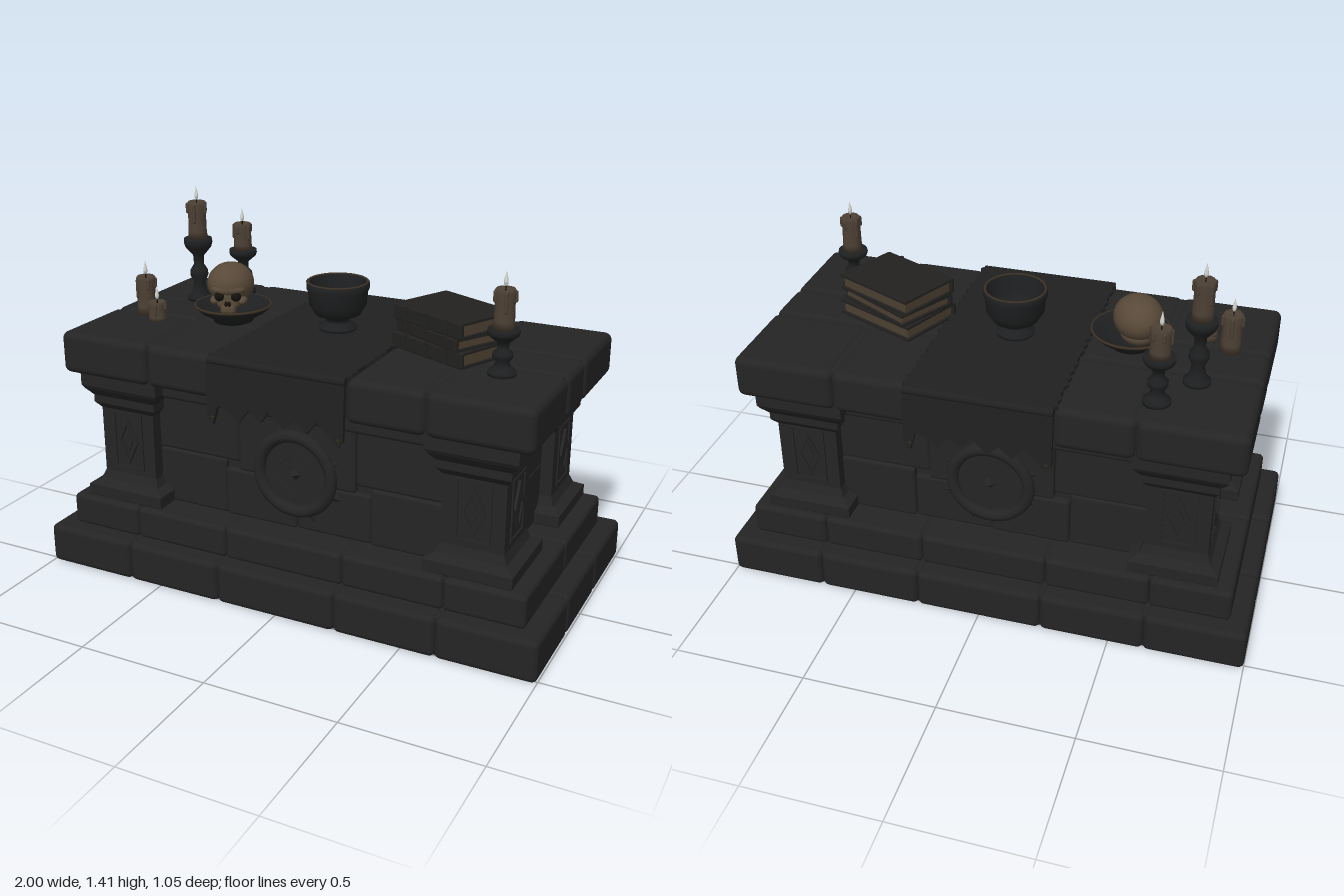
import * as THREE from 'three';
import { RoundedBoxGeometry } from 'three/addons/geometries/RoundedBoxGeometry.js';

const mat = (name, color) => {
  const m = new THREE.MeshStandardMaterial({ color });
  m.name = name;
  return m;
};

export function createModel() {
  const stone = mat('stone', 0x242424), cloth = mat('cloth', 0x202020), iron = mat('iron', 0x1e1f20);
  const cover = mat('bookCover', 0x222120), wax = mat('wax', 0x4c4034), bone = mat('bone', 0x584938);
  const paper = mat('paper', 0x4c3f30), brass = mat('brass', 0x3c3022), flameMat = mat('flame', 0xd6d6d0);
  const hollow = mat('hollow', 0x14110e);
  const root = new THREE.Group();

  const add = (parent, name, geo, material, x = 0, y = 0, z = 0) => {
    const m = new THREE.Mesh(geo, material);
    m.name = name;
    m.position.set(x, y, z);
    parent.add(m);
    return m;
  };
  const group = (parent, name, x = 0, y = 0, z = 0, ry = 0) => {
    const g = new THREE.Group();
    g.name = name;
    g.position.set(x, y, z);
    g.rotation.y = ry;
    parent.add(g);
    return g;
  };
  const flat = (geo) => {
    const g = geo.toNonIndexed();
    g.computeVertexNormals();
    return g;
  };
  const box = (w, h, d) => new THREE.BoxGeometry(w, h, d);
  const lathe = (pts, seg = 24) => new THREE.LatheGeometry(pts.map(p => new THREE.Vector2(...p)), seg);
  const poly = (pts) => new THREE.Shape(pts.map(p => new THREE.Vector2(...p)));
  const extrude = (shape, depth) => new THREE.ExtrudeGeometry(shape, { depth, bevelEnabled: false });
  const diamond = (w, h) => [[w, 0], [0, h], [-w, 0], [0, -h]];
  const rect = (w, h) => [[w, h], [-w, h], [-w, -h], [w, -h]];
  const frame = (outer, inner, depth) => {
    const s = poly(outer);
    s.holes.push(poly(inner));
    return extrude(s, depth);
  };

  // Courses of worn stone blocks, split along x and z, around a solid core
  const course = (name, xs, zs, y0, y1, r) => {
    const g = group(root, name), X = xs.at(-1), Z = zs.at(-1), h = y1 - y0, y = (y0 + y1) / 2;
    for (let i = 1; i < xs.length; i++) for (let j = 1; j < zs.length; j++) {
      const w = xs[i] - xs[i - 1], d = zs[j] - zs[j - 1];
      add(g, 'block', new RoundedBoxGeometry(w, h, d, 3, r), stone,
        (xs[i] + xs[i - 1]) / 2, y, (zs[j] + zs[j - 1]) / 2);
    }
    add(g, 'core', box(2 * X - .04, h - .012, 2 * Z - .04), stone, 0, y, 0);
  };
  course('baseStep', [-1, -.63, -.24, .24, .63, 1], [-.525, -.173, .173, .525], 0, .157, .022);
  course('upperStep', [-.93, -.63, -.24, .24, .63, .93], [-.455, 0, .455], .152, .277, .018);
  course('tableTop', [-.93, -.55, -.26, .26, .55, .93], [-.463, -.1, .1, .463], .785, .947, .028);

  // Recessed walls with bricks, and the lintel above them
  add(root, 'wallCore', box(1.5, .53, .62), stone, 0, .53, 0);
  add(root, 'lintelLong', new RoundedBoxGeometry(1.2, .08, .76, 2, .015), stone, 0, .757, 0);
  add(root, 'lintelShort', new RoundedBoxGeometry(1.62, .08, .36, 2, .015), stone, 0, .757, 0);
  const bricks = group(root, 'wallBricks');
  for (const s of [-1, 1]) {
    [[-.45, .3, .385, .22], [-.15, .3, .37, .19], [.15, .3, .37, .19], [.45, .3, .385, .22],
      [-.42, .36, .61, .23], [0, .48, .59, .25], [.42, .36, .61, .23]].forEach(([x, w, y, h], i) =>
      add(bricks, 'brick', new RoundedBoxGeometry(w, h, .06, 2, .012), stone, x, y, s * (.3 + (i % 2) * .006)));
    for (const z of [-.08, .08]) for (const y of [.39, .61])
      add(bricks, 'sideBrick', new RoundedBoxGeometry(.06, .225, .165, 2, .01), stone, s * .745, y, z);
  }

  // Corner pillars with framed diamonds on every face
  const pillarGeo = flat(lathe([[0, .27], [.16, .27], [.165, .28], [.165, .322], [.13, .342], [.116, .375], [.116, .635],
    [.136, .66], [.136, .69], [.16, .72], [.168, .735], [.168, .79], [0, .79]]
    .map(([r, y]) => [r * Math.SQRT2, y]), 4).rotateY(Math.PI / 4));
  for (const sx of [-1, 1]) for (const sz of [-1, 1]) {
    const p = group(root, 'pillar', sx * .705, 0, sz * .262);
    add(p, 'shaft', pillarGeo, stone);
    for (let k = 0; k < 4; k++) {
      const f = group(p, 'diamondPanel', 0, .515, 0, k * Math.PI / 2);
      add(f, 'panelFrame', frame(rect(.066, .118), rect(.056, .108), .007), stone, 0, 0, .115);
      add(f, 'diamondFrame', frame(diamond(.046, .095), diamond(.033, .07), .011), stone, 0, 0, .115);
      add(f, 'diamondCore', extrude(poly(diamond(.02, .045)), .008), stone, 0, 0, .115);
    }
  }

  // Round medallion on the front and back
  for (const ry of [0, Math.PI]) {
    const m = group(group(root, 'medallion', 0, 0, 0, ry), 'emblem', 0, .5, .33);
    add(m, 'disc', new THREE.CylinderGeometry(.15, .16, .02, 40).rotateX(Math.PI / 2), stone);
    add(m, 'ring', new THREE.TorusGeometry(.147, .024, 8, 48), stone, 0, 0, .012);
    add(m, 'diamondFrame', frame(diamond(.118, .118), diamond(.088, .088), .022), stone, 0, 0, .005);
    add(m, 'innerDiamond', frame(diamond(.06, .06), diamond(.032, .032), .02), stone, 0, 0, .005);
    add(m, 'stud', flat(new THREE.ConeGeometry(.03, .03, 4).rotateX(Math.PI / 2)), stone, 0, 0, .02);
    for (let i = 0; i < 8; i++) {
      const a = (i + .5) * Math.PI / 4, spike = new THREE.ConeGeometry(.028, .05, 4).scale(1, 1, .6);
      add(m, 'spike', flat(spike), stone, Math.cos(a) * .18, Math.sin(a) * .18, 0).rotation.z = a - Math.PI / 2;
    }
  }

  // Altar cloth with frayed edges and torn hanging ends
  const runner = group(root, 'cloth');
  const edge = [];
  for (let i = 0; i <= 40; i++) edge.push([.268 + (i % 2 ? .012 : 0) - (i % 5 === 0 ? .008 : 0), -.475 + i * .02375]);
  const top = extrude(poly([...edge, ...edge.map(([x, z]) => [-x, -z])]), .016);
  add(runner, 'clothTop', top.rotateX(-Math.PI / 2), cloth, 0, .941, 0);
  const torn = [[-.27, .74], [-.245, .705], [-.225, .78], [-.18, .765], [-.14, .73], [-.1, .78], [-.05, .745], [-.02, .79],
    [.04, .74], [.08, .775], [.13, .735], [.17, .785], [.21, .75], [.25, .705], [.27, .73]];
  for (const ry of [0, Math.PI]) {
    const h = group(runner, 'hangingEnd', 0, 0, 0, ry);
    const drop = poly([...torn, [.27, .945], [-.27, .945]].map(([x, y]) => [x, y - .945]));
    add(h, 'drop', extrude(drop, .016), cloth, 0, .945, .47).rotation.x = -.06;
    add(h, 'fold', new THREE.CylinderGeometry(.016, .016, .54, 12).rotateZ(Math.PI / 2), cloth, 0, .941, .475);
    for (const x of [-.247, .251])
      add(h, 'cornerTip', new THREE.ConeGeometry(.012, .035, 6).rotateX(Math.PI), brass, x, .722, .492);
  }

  // Footed bowl
  const bowl = group(root, 'bowl', 0, .955, -.01);
  add(bowl, 'cup', lathe([[0, 0], [.07, 0], [.072, .014], [.045, .03], [.045, .045], [.085, .062], [.108, .1], [.112, .15],
    [.118, .16], [.118, .185], [.104, .185], [.1, .12], [.075, .075], [0, .06]], 32), iron);
  add(bowl, 'rim', new THREE.TorusGeometry(.111, .006, 6, 40).rotateX(Math.PI / 2), brass, 0, .183, 0);

  // Plate holding a skull
  const dish = group(root, 'plate', -.425, .945, .04);
  add(dish, 'plateBody', lathe([[0, 0], [.075, 0], [.08, .015], [.125, .04], [.148, .062], [.143, .07], [.115, .05],
    [.07, .028], [0, .026]], 32), iron);
  add(dish, 'plateRim', new THREE.TorusGeometry(.145, .005, 6, 40).rotateX(Math.PI / 2), brass, 0, .066, 0);
  const skull = group(root, 'skull', -.45, .97, .015, .4);
  const ball = (name, m, x, y, z, sx, sy, sz) =>
    add(skull, name, new THREE.SphereGeometry(1, 24, 16).scale(sx, sy, sz), m, x, y, z);
  ball('cranium', bone, 0, .113, -.01, .09, .08, .105);
  ball('skullBase', bone, 0, .06, -.02, .066, .045, .075);
  ball('brow', bone, 0, .106, .06, .066, .026, .036);
  add(skull, 'face', new RoundedBoxGeometry(.088, .07, .07, 3, .02), bone, 0, .068, .055);
  add(skull, 'upperJaw', new RoundedBoxGeometry(.06, .04, .06, 3, .015), bone, 0, .034, .065);
  for (const s of [-1, 1]) {
    ball('cheekbone', bone, s * .053, .062, .055, .018, .016, .034);
    ball('eyeSocket', hollow, s * .03, .083, .08, .021, .02, .017);
    ball('nostril', hollow, s * .006, .054, .089, .007, .012, .006);
  }
  for (let i = -3; i <= 3; i++)
    add(skull, 'tooth', new RoundedBoxGeometry(.0075, .018, .012, 1, .003), bone, i * .008, .013, .089 - i * i * .002);

  // Stack of old books, spines turned to the front left
  const stack = group(root, 'books', .47, .947, .01, -.45);
  const book = (y, h, w, d, turn) => {
    const b = group(stack, 'book', 0, y, 0, turn), t = .009;
    add(b, 'pages', box(w - .022, h - 2 * t, d - .02), paper, 0, h / 2, 0);
    for (const cy of [t / 2, h - t / 2]) add(b, 'board', box(w, t, d), cover, 0, cy, 0);
    add(b, 'spine', new RoundedBoxGeometry(w, h, .018, 2, .006), cover, 0, h / 2, d / 2);
    for (const x of [-.3, 0, .3]) add(b, 'spineBand', box(.012, h, .008), cover, x * w, h / 2, d / 2 + .008);
  };
  book(0, .058, .35, .255, .04);
  book(.058, .046, .335, .245, -.05);
  book(.104, .058, .345, .25, .02);

  // Candles, three of them on turned holders
  const candle = (x, z, holder, height, r) => {
    const c = group(root, 'candle', x, .945, z, x * 9), H = holder;
    if (H) add(c, 'holder', lathe([[0, 0], [.05, 0], [.05, .014], [.032, .03], [.022, H * .28], [.036, H * .4], [.036, H * .48],
      [.02, H * .58], [.022, H * .72], [.052, H * .86], [.057, H * .93], [.055, H], [0, H]], 20), iron);
    add(c, 'waxBody', lathe([[0, H], [r * 1.08, H], [r, H + height * .2], [r * .97, H + height * .7], [r * 1.06, H + height * .93],
      [r * .9, H + height], [r * .6, H + height - .006], [0, H + height - .008]], 16), wax);
    for (let i = 0; i < 5; i++) {
      const a = i * 1.3, len = height * (.2 + .12 * ((i * 2) % 4));
      add(c, 'drip', new THREE.CapsuleGeometry(.007, len, 3, 8), wax,
        Math.cos(a) * r, H + height - .012 - len / 2, Math.sin(a) * r);
    }
    add(c, 'wick', new THREE.CylinderGeometry(.0025, .0025, .022, 6), hollow, 0, H + height, 0);
    add(c, 'flame', lathe([[0, 0], [.007, .01], [.008, .02], [.004, .04], [0, .058]], 10), flameMat, 0, H + height + .004, 0);
  };
  candle(-.7, -.155, .255, .148, .037);
  candle(-.59, -.32, .185, .108, .036);
  candle(.715, .18, .165, .14, .036);
  candle(-.78, .105, 0, .15, .037);
  candle(-.69, .165, 0, .075, .034);

  return root;
}
